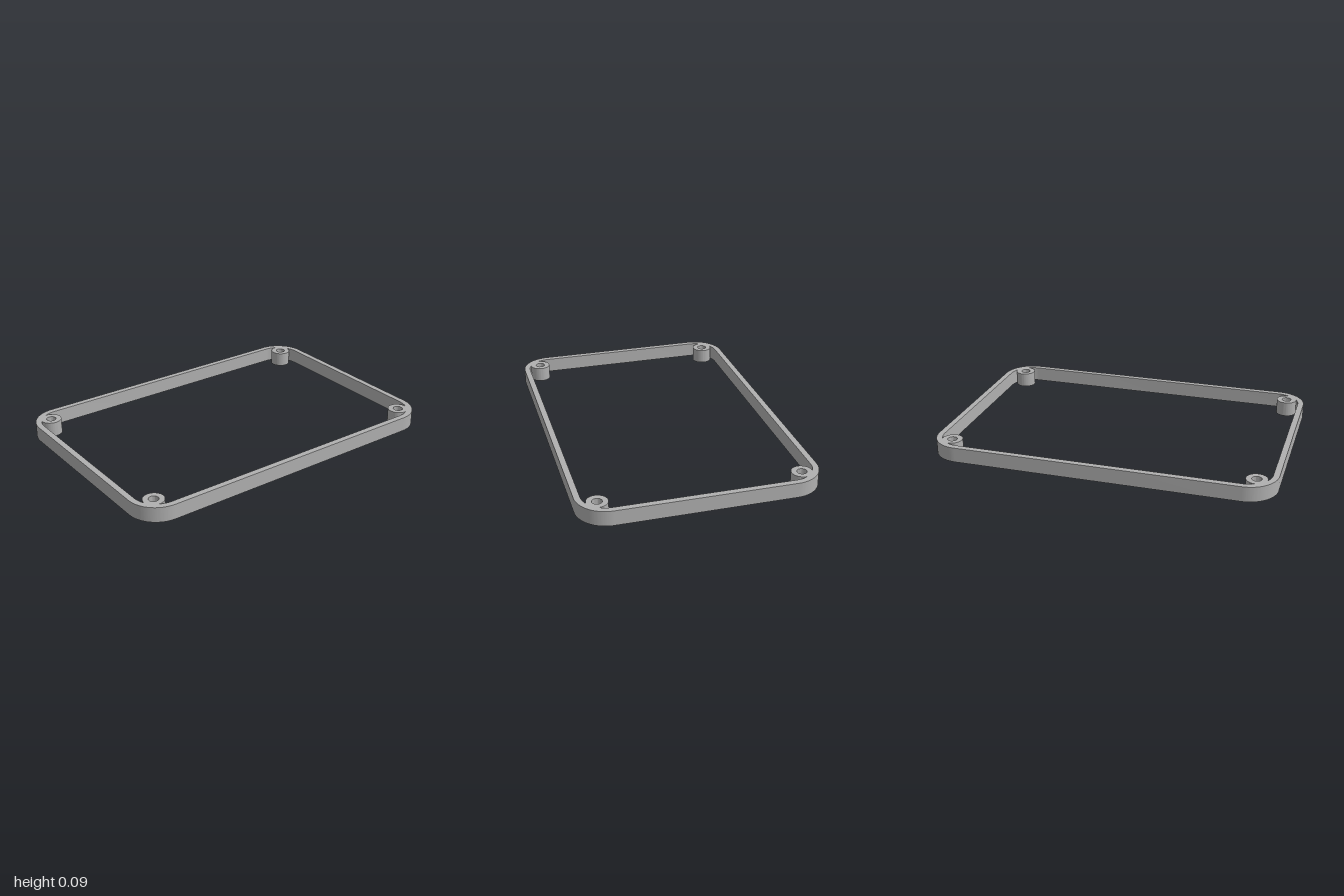
import * as THREE from 'three';
import { toCreasedNormals } from 'three/addons/utils/BufferGeometryUtils.js';

const HEIGHT = 0.088;

// Rounded rectangle outline, given half sizes and corner radius
function roundedRect(path, hx, hz, r) {
  const cx = hx - r, cz = hz - r;
  path.moveTo(hx, -cz);
  path.absarc(cx, cz, r, 0, Math.PI / 2);
  path.absarc(-cx, cz, r, Math.PI / 2, Math.PI);
  path.absarc(-cx, -cz, r, Math.PI, Math.PI * 1.5);
  path.absarc(cx, -cz, r, Math.PI * 1.5, Math.PI * 2);
  return path;
}

// Stand a flat outline up as a solid from y = 0
function extrudeUp(shape, height) {
  const geometry = new THREE.ExtrudeGeometry(shape, {
    depth: height, bevelEnabled: false, curveSegments: 32,
  });
  geometry.rotateX(-Math.PI / 2);
  return toCreasedNormals(geometry, Math.PI / 6);
}

export function createModel() {
  const group = new THREE.Group();
  group.name = 'enclosureFrame';
  const grey = new THREE.MeshStandardMaterial({ color: 0xb0b0b0 });
  grey.name = 'grey';

  // Thin perimeter wall with rounded corners
  const outline = roundedRect(new THREE.Shape(), 1, 0.68, 0.175);
  outline.holes.push(roundedRect(new THREE.Path(), 0.965, 0.645, 0.14));
  const wall = new THREE.Mesh(extrudeUp(outline, HEIGHT), grey);
  wall.name = 'perimeterWall';
  group.add(wall);

  // Screw bosses: a tube with a web closing the bore midway
  const ring = new THREE.Shape().absarc(0, 0, 0.06, 0, Math.PI * 2);
  ring.holes.push(new THREE.Path().absarc(0, 0, 0.028, 0, Math.PI * 2));
  const tubeGeometry = extrudeUp(ring, HEIGHT);
  const webGeometry = new THREE.CylinderGeometry(0.03, 0.03, 0.02, 32);

  for (const sx of [-1, 1]) {
    for (const sz of [-1, 1]) {
      const boss = new THREE.Group();
      boss.name = `${sz > 0 ? 'front' : 'back'}${sx > 0 ? 'Left' : 'Right'}ScrewBoss`;
      const tube = new THREE.Mesh(tubeGeometry, grey);
      tube.name = 'bossTube';
      const web = new THREE.Mesh(webGeometry, grey);
      web.name = 'boreWeb';
      web.position.y = HEIGHT / 2;
      boss.add(tube, web);
      boss.position.set(sx * 0.887, 0, sz * 0.568);
      group.add(boss);
    }
  }
  return group;
}
